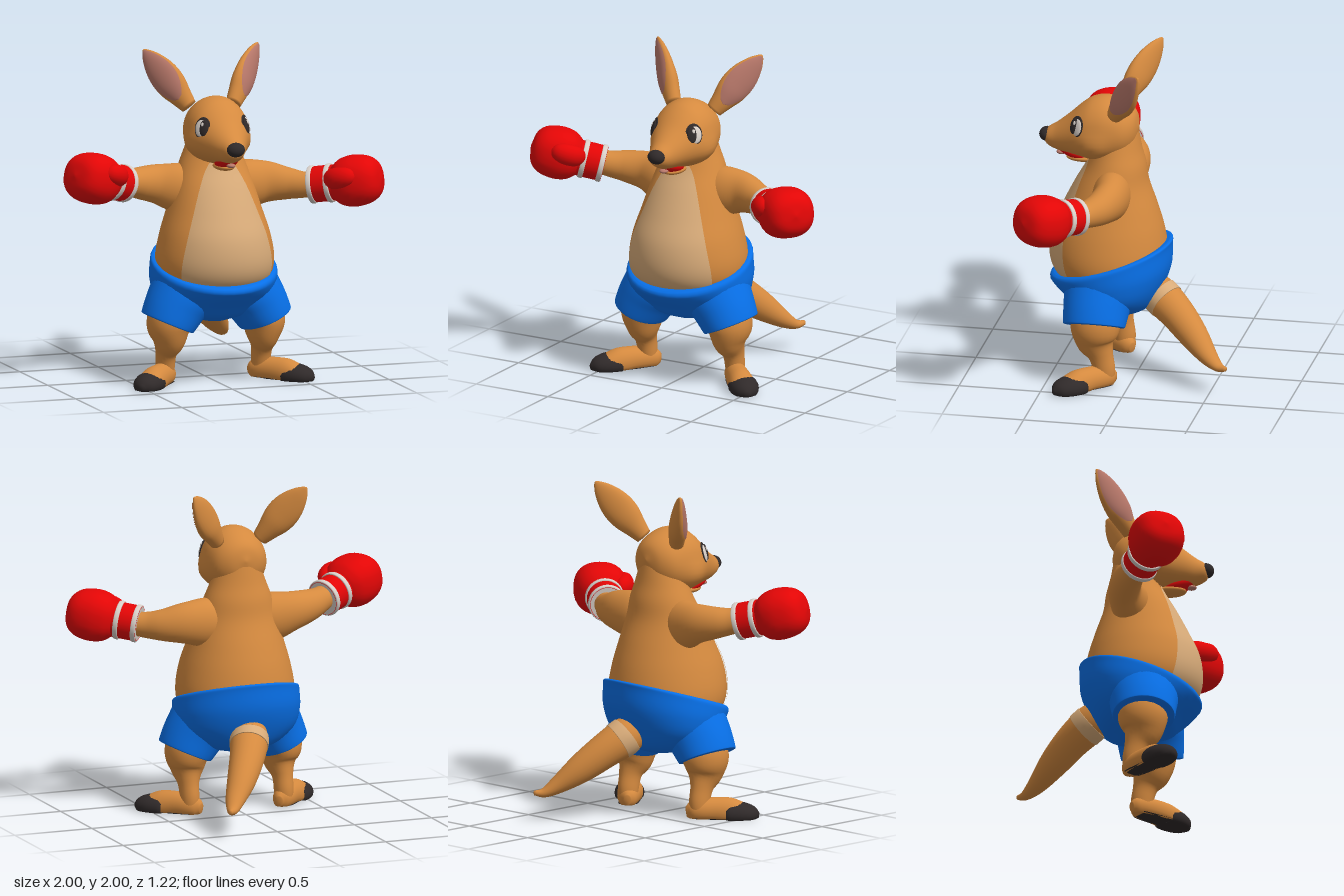
import * as THREE from 'three';

const V = (x, y, z) => new THREE.Vector3(x, y, z);
const mat = (name, color) => Object.assign(new THREE.MeshStandardMaterial({ color }), { name });

// Smooth tube through rings [x, y, z, radiusU, radiusV].
// axis fixes the ring planes, arc(v) keeps only a strip (half-angle) around the V direction.
function loft(rings, { up = V(0, 1, 0), axis, arc, grow = 0, from = 0, to = 1, segs = 32, pow = 1, bend } = {}) {
  const centres = new THREE.CatmullRomCurve3(rings.map(r => V(r[0], r[1], r[2])), false, 'catmullrom', 0.5);
  const radii = new THREE.CatmullRomCurve3(rings.map(r => V(r[3], r[4], 0)), false, 'catmullrom', 0.5);
  const rows = (rings.length - 1) * 5, pos = [], idx = [];
  const cols = arc ? segs + 1 : segs;
  const power = a => Math.sign(a) * Math.abs(a) ** pow;
  const push = p => { if (bend) bend(p); pos.push(p.x, p.y, p.z); };
  for (let i = 0; i <= rows; i++) {
    const v = from + (to - from) * i / rows;
    const c = centres.getPoint(v), r = radii.getPoint(v);
    const t = axis || centres.getTangent(v);
    const side = up.clone().cross(t).normalize(), upward = t.clone().cross(side);
    for (let j = 0; j < cols; j++) {
      const a = arc ? Math.PI / 2 + arc(v) * (2 * j / segs - 1) : 2 * Math.PI * j / segs;
      push(c.clone().addScaledVector(side, (Math.max(r.x, 0.002) + grow) * power(Math.cos(a)))
        .addScaledVector(upward, (Math.max(r.y, 0.002) + grow) * power(Math.sin(a))));
    }
  }
  for (let i = 0; i < rows; i++) for (let j = 0; j < segs; j++) {
    const k = (j + 1) % cols, a = i * cols + j, b = i * cols + k;
    idx.push(a, b, a + cols, b, b + cols, a + cols);
  }
  if (!arc) { // end caps
    const n = (rows + 1) * cols, last = rows * cols;
    push(centres.getPoint(from)); push(centres.getPoint(to));
    for (let j = 0; j < segs; j++) {
      const k = (j + 1) % segs;
      idx.push(n, k, j, n + 1, last + j, last + k);
    }
  }
  const g = new THREE.BufferGeometry();
  g.setAttribute('position', new THREE.Float32BufferAttribute(pos, 3));
  g.setIndex(idx);
  g.computeVertexNormals();
  return g;
}

export function createModel() {
  const model = new THREE.Group();
  model.name = 'boxingKangaroo';
  const fur = mat('fur', 0xd58a3f), cream = mat('creamBelly', 0xd8ab79), blue = mat('blueCloth', 0x0870e8);
  const red = mat('redLeather', 0xe30606), pale = mat('paleTrim', 0xd8cfc8), dark = mat('darkSkin', 0x302a2a);
  const pink = mat('innerEar', 0xb8786a);
  const add = (name, geo, m, parent = model) => {
    const mesh = new THREE.Mesh(geo, m);
    mesh.name = name;
    parent.add(mesh);
    return mesh;
  };
  const ball = (name, m, p, r, parent) => {
    const mesh = add(name, new THREE.SphereGeometry(1, 28, 18), m, parent);
    mesh.position.set(...p);
    mesh.scale.set(...r);
    return mesh;
  };
  const Y = V(0, 1, 0), Z = V(0, 0, 1);
  const clamp = THREE.MathUtils.clamp;
  const mirror = (rings, s) => rings.map(([x, ...rest]) => [x * s, ...rest]);

  // Torso and belly patch
  const torso = [[0, .56, .18, .25, .22], [0, .64, .172, .338, .325], [0, .75, .18, .36, .355], [0, .9, .183, .335, .337],
    [0, 1.05, .172, .29, .283], [0, 1.2, .16, .245, .22], [0, 1.32, .135, .207, .177], [0, 1.42, .13, .168, .147], [0, 1.55, .13, .125, .125]];
  add('torso', loft(torso, { up: Z, axis: Y, segs: 40 }), fur);
  add('belly', loft(torso, { up: Z, axis: Y, grow: .006, to: .85,
    arc: v => .93 * Math.sqrt(Math.max(0, 1 - (v / .85) ** 2.2)) }), cream);

  // Head, with full cheeks in the lower half
  add('head', loft([[0, 1.56, -.003, .01, .01], [0, 1.55, .02, .1, .1], [0, 1.54, .08, .163, .163], [0, 1.54, .18, .186, .2],
    [0, 1.535, .27, .182, .195], [0, 1.52, .34, .163, .168], [0, 1.49, .42, .125, .125], [0, 1.465, .5, .085, .085],
    [0, 1.46, .56, .055, .05], [0, 1.46, .58, .01, .01]], { axis: Z, segs: 40,
    bend: p => { p.x *= 1 + .2 * clamp((1.56 - p.y) / .12, 0, 1) * Math.exp(-(((p.z - .25) / .12) ** 2)); } }), fur);
  ball('nose', dark, [0, 1.47, .562], [.056, .044, .048]);
  ball('mouth', red, [0, 1.372, .39], [.066, .042, .11]).rotation.x = -.3;
  ball('tongue', pink, [0, 1.36, .475], [.026, .014, .03]);
  ball('lowerJaw', fur, [0, 1.338, .345], [.062, .026, .1]);

  for (const s of [1, -1]) {
    const label = s > 0 ? 'left' : 'right';

    // Eye, facing outward from the face
    const eye = new THREE.Group();
    eye.name = label + 'Eye';
    eye.position.set(.137 * s, 1.577, .353);
    eye.lookAt(V((.137 + .74) * s, 1.577 + .25, .353 + .6));
    ball('eyeRim', dark, [0, 0, 0], [.054, .067, .011], eye);
    ball('eyeWhite', pale, [.007 * s, -.002, .004], [.041, .053, .013], eye);
    ball('pupil', dark, [-.014 * s, 0, .008], [.032, .05, .014], eye);
    ball('glint', pale, [-.006 * s, .02, .019], [.01, .013, .005], eye);
    model.add(eye);

    // Ear with coloured inner face
    const base = V(.14 * s, 1.67, .12), tip = V(.365 * s, 2, -.07);
    const ear = [[0, .05, .045], [.17, .07, .052], [.34, .092, .055], [.51, .098, .048], [.68, .086, .038],
      [.85, .056, .025], [.96, .024, .012], [1, .005, .005]]
      .map(([f, w, d]) => [...base.clone().lerp(tip, f).toArray(), w, d]);
    const facing = V(.65 * s, 0, .76);
    add(label + 'Ear', loft(ear, { up: facing, segs: 24 }), fur);
    add(label + 'InnerEar', loft(ear, { up: facing, segs: 16, grow: .003, from: .13, to: .94,
      arc: v => 1.12 * Math.max(0, Math.sin(Math.PI * (v - .13) / .81)) ** .4 }), pink);

    // Leg, foot, sole and toes
    add(label + 'Leg', loft(mirror([[.27, .45, .2, .14, .15], [.3, .36, .205, .135, .15], [.3, .27, .2, .1, .12],
      [.305, .19, .17, .064, .077], [.305, .1, .15, .058, .068], [.305, .03, .15, .055, .06]], s), { up: Z, segs: 24 }), fur);
    const foot = mirror([[.252, .04, .09, .02, .03], [.272, .045, .115, .05, .058], [.31, .05, .155, .066, .072],
      [.37, .05, .225, .072, .08], [.43, .04, .29, .078, .085], [.485, .035, .345, .075, .06], [.525, .03, .385, .04, .03]], s);
    add(label + 'Foot', loft(foot, { segs: 24, bend: p => { p.y = Math.max(p.y, .004); } }), fur);
    add(label + 'Sole', loft(foot, { segs: 24, grow: -.006, from: .25, bend: p => { p.y = clamp(p.y, 0, .008); } }), dark);
    add(label + 'Toes', loft(mirror([[.42, .03, .27, .07, .06], [.43, .03, .28, .086, .07], [.48, .03, .335, .088, .07],
      [.525, .025, .385, .064, .05], [.55, .02, .412, .015, .015]], s),
    { segs: 24, bend: p => { p.y = Math.max(p.y, 0); } }), dark);

    // Shorts leg
    add(label + 'ShortsLeg', loft(mirror([[.15, .66, .18, .2, .22], [.21, .54, .195, .2, .215], [.265, .46, .205, .183, .2],
      [.306, .388, .21, .168, .19], [.312, .376, .21, .16, .184], [.313, .374, .21, .14, .165]], s),
    { up: Z, axis: V(.4 * s, -.917, 0) }), blue);
  }

  // Shorts trunk with the waist sloping down to the front
  add('shorts', loft([[0, .375, .15, .08, .1], [0, .42, .14, .24, .215], [0, .5, .135, .35, .28], [0, .6, .145, .385, .34],
    [0, .69, .165, .387, .366], [0, .722, .165, .38, .368], [0, .732, .165, .36, .35]], { up: Z, axis: Y, segs: 40,
    bend: p => { p.y -= .32 * (p.z - .165) * clamp((p.y - .4) / .3, 0, 1); } }), blue);

  // Tail with pale base band
  const tail = [[.01, .55, -.07, .1, .1], [.04, .49, -.15, .115, .115], [.1, .41, -.26, .105, .105], [.18, .31, -.375, .088, .088],
    [.26, .22, -.475, .062, .056], [.31, .17, -.55, .036, .03], [.345, .17, -.605, .012, .014]];
  add('tail', loft(tail, { segs: 24 }), fur);
  add('tailBand', loft(tail, { segs: 24, grow: .004, from: .13, to: .22 }), cream);

  // Arms
  add('leftArm', loft([[.05, 1.17, .14, .1, .1], [.2, 1.178, .125, .115, .148], [.34, 1.185, .12, .1, .128],
    [.46, 1.175, .16, .09, .1], [.55, 1.17, .22, .077, .08], [.64, 1.18, .28, .07, .07]]), fur);
  add('rightArm', loft([[-.05, 1.17, .14, .1, .1], [-.2, 1.18, .12, .115, .148], [-.34, 1.208, .1, .1, .12],
    [-.46, 1.225, .13, .09, .098], [-.55, 1.24, .18, .077, .08], [-.64, 1.265, .23, .07, .07]]), fur);

  // Boxing gloves, built along local z from the wrist
  const glove = (s, wrist, fist) => {
    const g = new THREE.Group();
    g.name = s > 0 ? 'leftGlove' : 'rightGlove';
    g.position.copy(wrist);
    g.lookAt(fist);
    const drum = (name, z0, z1, r, m) =>
      add(name, loft([[0, 0, z0, r - .012, r - .012], [0, 0, z0 + .004, r, r], [0, 0, z1 - .004, r, r],
        [0, 0, z1, r - .012, r - .012]], { axis: Z }), m, g);
    drum('cuff', .03, .2, .108, red);
    drum('wristBand', .022, .054, .114, pale);
    drum('upperBand', .132, .164, .117, pale);
    add('fist', loft([[0, 0, .165, .09, .09], [0, 0, .19, .122, .116], [0, 0, .235, .15, .144], [0, 0, .31, .163, .155],
      [0, 0, .4, .147, .138], [0, 0, .455, .1, .09], [0, 0, .475, .01, .01]], { axis: Z, pow: .85 }), red, g);
    add('thumb', loft([[-.08 * s, .03, .165, .02, .02], [-.1 * s, .035, .18, .045, .055], [-.125 * s, .04, .23, .06, .065],
      [-.14 * s, .045, .29, .055, .06], [-.135 * s, .045, .335, .035, .04], [-.13 * s, .045, .35, .005, .005]],
    { segs: 20 }), red, g);
    model.add(g);
  };
  glove(1, V(.57, 1.17, .24), V(.83, 1.215, .43));
  glove(-1, V(-.56, 1.235, .19), V(-.84, 1.31, .335));

  return model;
}
